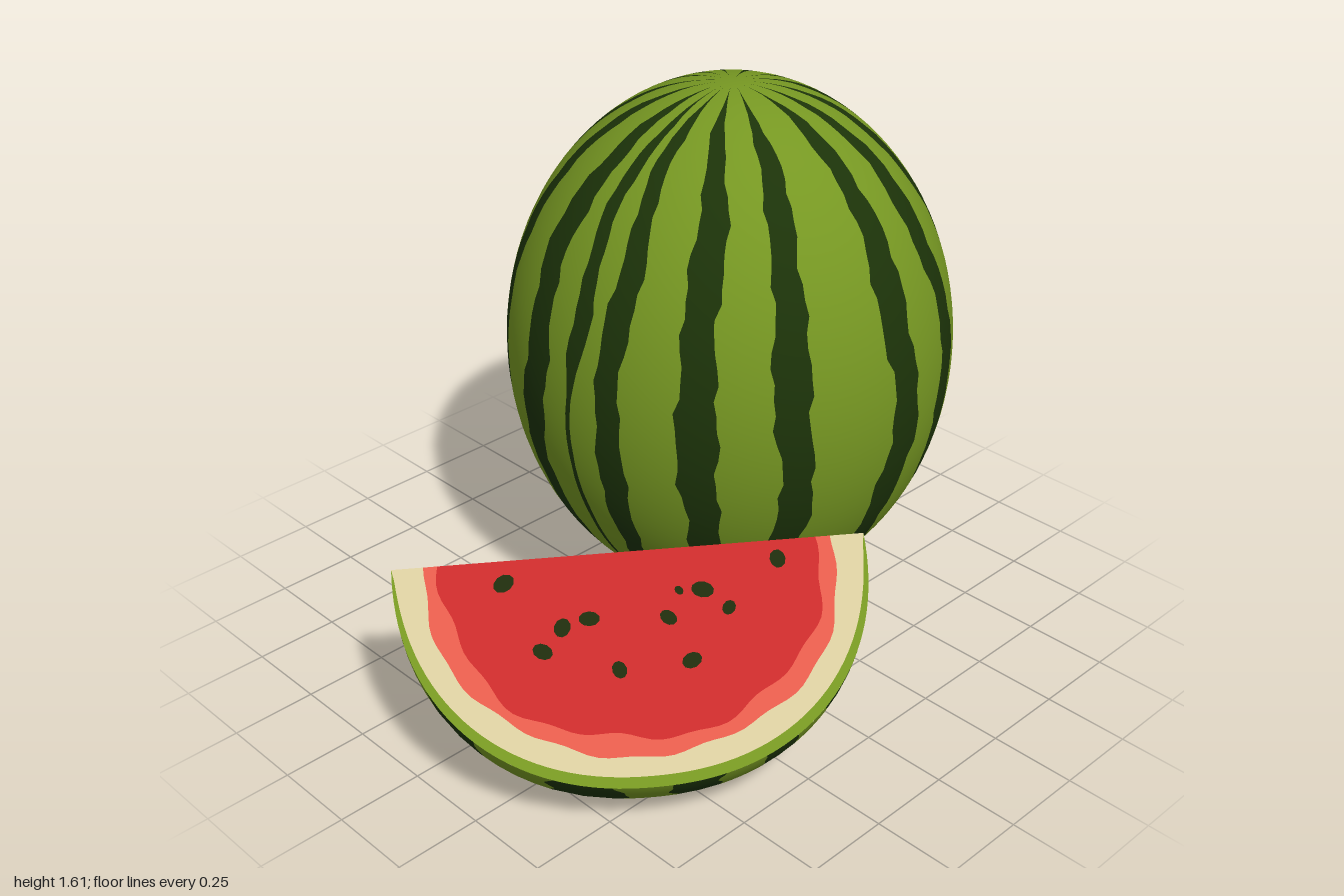
import * as THREE from 'three';
import { mergeGeometries } from 'three/addons/utils/BufferGeometryUtils.js';

const mat = (name, color) => Object.assign(new THREE.MeshStandardMaterial({ color }), { name });
const RAD = Math.PI / 180;
const { lerp, clamp, smoothstep } = THREE.MathUtils;

// Rectangular patch: fn(u, v) gives a point, u runs across and v runs along
function grid(fn, nu, nv, radii) {
  const pos = [], nor = [], idx = [];
  for (let j = 0; j <= nv; j++) {
    for (let i = 0; i <= nu; i++) {
      const p = fn(i / nu, j / nv);
      pos.push(p.x, p.y, p.z);
      if (radii) nor.push(...p.clone().divide(radii).divide(radii).normalize().toArray());
      if (i < nu && j < nv) {
        const a = j * (nu + 1) + i, c = a + nu + 1;
        idx.push(a, c, c + 1, a, c + 1, a + 1);
      }
    }
  }
  const g = new THREE.BufferGeometry();
  g.setAttribute('position', new THREE.Float32BufferAttribute(pos, 3));
  g.setIndex(idx);
  if (radii) g.setAttribute('normal', new THREE.Float32BufferAttribute(nor, 3));
  else g.computeVertexNormals();
  return g;
}

// Body shapes: a direction becomes a point on the surface
const MELON = new THREE.Vector3(0.66, 0.795, 0.66);
const WEDGE = new THREE.Vector3(0.65, 0.44, 0.68);
const melonPoint = (x, y, z) => new THREE.Vector3(x, y, z).multiply(MELON);
// The wedge is fuller near its upper cut and more pointed near its rear cut
function wedgePoint(x, y, z) {
  const n = lerp(1.72, 2.2, Math.abs(z) / (Math.hypot(y, z) || 1));
  const k = (Math.abs(x) ** n + Math.abs(y) ** n + Math.abs(z) ** n) ** (-1 / n);
  return new THREE.Vector3(x * k, y * k, z * k).multiply(WEDGE);
}

// Striped rind: alternating light and dark meridian bands with ragged edges.
// stripes: [centre angle, half width, fades downwards] in degrees; ends close an open rind.
function rind(stripes, point, radii, t0, t1, ends) {
  const edge = (i, side) => t => {
    const [c, w, fades] = stripes[i];
    const ragged = 1 + 0.17 * Math.sin(9 * t + i * 2.1 + side) + 0.13 * Math.sin(23 * t + i * 5 + side * 2)
      + 0.08 * Math.sin(47 * t + i * 3);
    const fade = fades ? clamp(1 - (t - 1.3) * 4, 0.3, 1) : 1;
    const taper = smoothstep(Math.sin(t), 0.05, 0.45);
    return RAD * (c + Math.sin(6 * t + i) + side * w * ragged * fade * taper);
  };
  const band = (a, b, nu) => grid((u, v) => {
    const t = lerp(t0, t1, v), f = lerp(a(t), b(t), u);
    return point(Math.sin(t) * Math.sin(f), Math.cos(t), Math.sin(t) * Math.cos(f));
  }, nu, 56, radii);
  const dark = [], light = [], last = stripes.length - 1;
  stripes.forEach((_, i) => {
    dark.push(band(edge(i, -1), edge(i, 1), 2));
    if (i < last) light.push(band(edge(i, 1), edge(i + 1, -1), 4));
  });
  if (ends) {
    light.push(band(() => ends[0], edge(0, -1), 3), band(edge(last, 1), () => ends[1], 3));
  } else {
    const first = edge(0, -1);
    light.push(band(edge(last, 1), t => first(t) + 2 * Math.PI, 4));
  }
  return { dark: mergeGeometries(dark), light: mergeGeometries(light) };
}

export function createModel() {
  const green = mat('rindGreen', 0x769722), darkGreen = mat('stripeGreen', 0x1c3309);
  const red = mat('fleshRed', 0xca2b2b), salmon = mat('fleshSalmon', 0xe45c4c);
  const cream = mat('rindCream', 0xd8cc9e), seedMat = mat('seedDark', 0x1f2c0c);
  const model = new THREE.Group();
  model.name = 'watermelonAndSlice';
  const add = (parent, name, geo, material) => {
    const m = new THREE.Mesh(geo, material);
    m.name = name;
    parent.add(m);
    return m;
  };

  // Whole melon
  const melon = new THREE.Group();
  melon.name = 'wholeMelon';
  melon.position.set(-0.135, 0.825, -0.335);
  const stripes = [[-151, 7], [-126, 4.5], [-105, 4], [-86, 4], [-61, 3.8], [-38, 4.2], [-12.7, 4.8],
    [2.5, 2.7, true], [14.5, 3.5], [37, 4.6], [60, 4.4], [91.5, 4.8], [114, 4.6], [137, 4.4],
    [160, 5.2], [182, 3.5]];
  const skin = rind(stripes, melonPoint, MELON, 0, Math.PI);
  add(melon, 'melonRind', skin.light, green);
  add(melon, 'melonStripes', skin.dark, darkGreen);
  model.add(melon);

  // Slice: a quarter wedge, its cut faces meeting along the local x axis
  const slice = new THREE.Group();
  slice.name = 'slice';
  slice.position.set(0.165, 0.518, 0.355);
  slice.rotation.set(0.5, 0.915, 0.015, 'YZX');
  const sliceStripes = [[-80, 6], [-48, 7.5], [-16, 8], [10, 5.5], [30, 5], [48, 5], [75, 8]];
  const outer = rind(sliceStripes, wedgePoint, WEDGE, Math.PI / 2, Math.PI, [-Math.PI / 2, Math.PI / 2]);
  add(slice, 'sliceRind', outer.light, green);
  add(slice, 'sliceStripes', outer.dark, darkGreen);

  // Cut faces, painted as nested half rings; the green edge shows on the upper cut only
  const inner = [
    () => 0,
    b => 0.8 + 0.014 * Math.sin(7 * b) + 0.01 * Math.sin(17 * b + 1),
    b => 0.87 + 0.01 * Math.sin(6 * b + 2) + 0.007 * Math.sin(19 * b),
  ];
  const greenEdge = b => 1 - 0.045 * Math.sqrt(Math.max(0, Math.cos(b)));
  const layers = [['Flesh', red], ['PaleFlesh', salmon], ['InnerRind', cream], ['RindEdge', green]];
  const faces = [
    ['upperCut', b => wedgePoint(Math.sin(b), 0, Math.cos(b)), [...inner, greenEdge, () => 1]],
    ['rearCut', b => wedgePoint(-Math.sin(b), -Math.cos(b), 0), [...inner, () => 1]],
  ];
  for (const [face, rim, limits] of faces) {
    for (let k = 0; k < limits.length - 1; k++) {
      const geo = grid((u, v) => {
        const b = (u - 0.5) * Math.PI;
        return rim(b).multiplyScalar(lerp(limits[k](b), limits[k + 1](b), v));
      }, 64, 1);
      add(slice, face + layers[k][0], geo, layers[k][1]);
    }
  }

  // Seeds: [along the edge, depth below the edge, size]
  const seedGeo = new THREE.CircleGeometry(0.026, 10);
  const upperSeeds = [[0.4, 0.06, 1], [0.184, 0.135, 1.1], [0.249, 0.195, 0.8], [0.083, 0.21, 0.9],
    [0.132, 0.34, 1], [-0.062, 0.35, 0.9], [-0.129, 0.195, 1], [-0.203, 0.215, 1], [-0.26, 0.28, 1],
    [-0.35, 0.07, 1.1], [0.12, 0.132, 0.5]];
  const rearSeeds = [[-0.39, 0.04, 0.8], [-0.17, 0.07, 0.7], [-0.05, 0.2, 0.9], [0.12, 0.15, 0.9], [0.28, 0.1, 0.8]];
  upperSeeds.forEach(([d, s, size], i) => {
    const m = add(slice, 'upperSeed', seedGeo, seedMat);
    m.position.set(d, 0.004, s);
    m.rotation.set(-Math.PI / 2, 0, i * 1.3);
    m.scale.set(0.85 * size, 1.1 * size, 1);
  });
  rearSeeds.forEach(([d, s, size], i) => {
    const m = add(slice, 'rearSeed', seedGeo, seedMat);
    m.position.set(d, -s, -0.004);
    m.rotation.set(0, Math.PI, i * 1.3);
    m.scale.set(0.75 * size, size, 1);
  });
  model.add(slice);
  return model;
}
